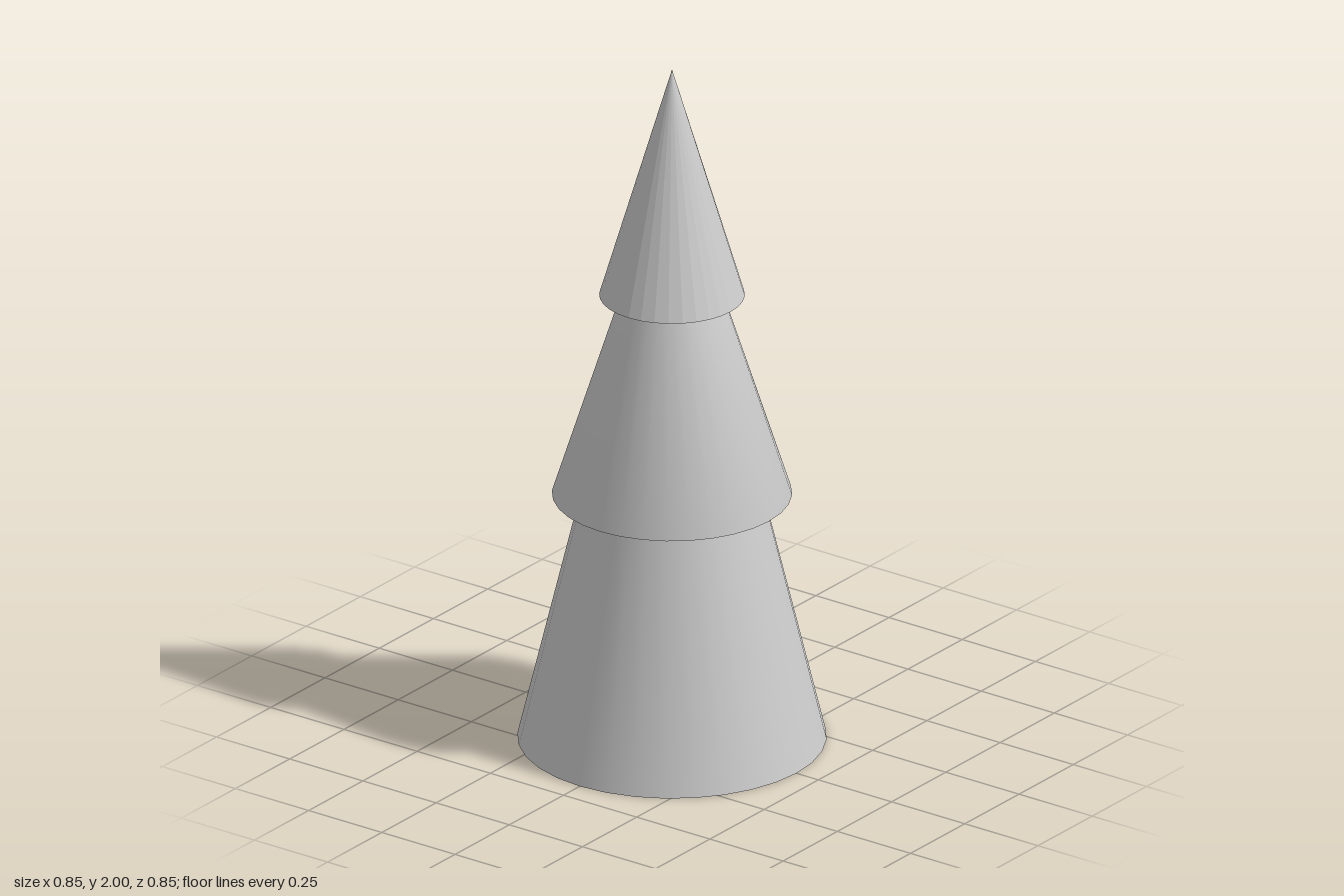
import * as THREE from 'three';

const SEGMENTS = 32;

// Revolve a [radius, height] profile around the y axis
function tier(name, profile, flatShading = false) {
  const points = profile.map(([r, y]) => new THREE.Vector2(r, y));
  const material = new THREE.MeshStandardMaterial({
    color: 0xcccccc, side: THREE.DoubleSide, flatShading,
  });
  const mesh = new THREE.Mesh(new THREE.LatheGeometry(points, SEGMENTS), material);
  mesh.name = name;
  return mesh;
}

export function createModel() {
  const tree = new THREE.Group();
  tree.name = 'stylizedTree';

  // Open-bottomed lower cone
  tree.add(tier('lowerTier', [[0.425, 0], [0.25, 0.73]]));

  // Middle cone, smoothed over the rim into its flat underside
  tree.add(tier('middleTier', [[0.25, 0.73], [0.33, 0.73], [0.14, 1.325]]));

  // Faceted tip with a flat underside ring
  tree.add(tier('topTier', [[0.14, 1.325], [0.2, 1.325], [0, 2]], true));

  return tree;
}
